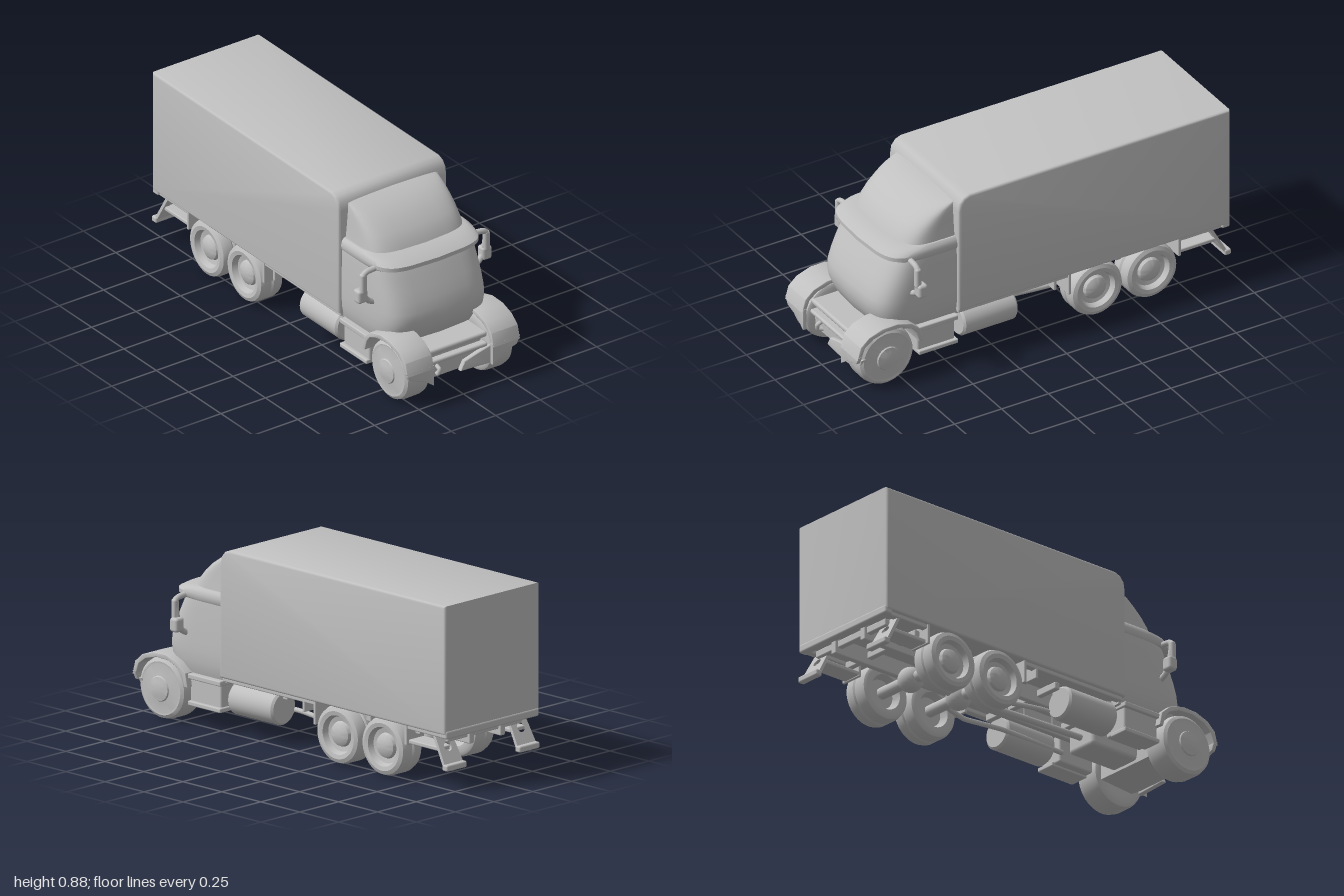
import * as THREE from 'three';
import { toCreasedNormals } from 'three/addons/utils/BufferGeometryUtils.js';
import { RoundedBoxGeometry } from 'three/addons/geometries/RoundedBoxGeometry.js';

const grey = new THREE.MeshStandardMaterial({ color: 0xc0c0c0 });
grey.name = 'plain grey';

const V = (x, y, z) => new THREE.Vector3(x, y, z);

function add(parent, name, geometry) {
  const mesh = new THREE.Mesh(geometry, grey);
  mesh.name = name;
  parent.add(mesh);
  return mesh;
}

// box given by its limits on each axis
function box(x0, x1, y0, y1, z0, z1, r = 0.006) {
  const g = new RoundedBoxGeometry(x1 - x0, y1 - y0, z1 - z0, 2, r);
  return g.translate((x0 + x1) / 2, (y0 + y1) / 2, (z0 + z1) / 2);
}

function extrude(points, depth, bevel) {
  const shape = new THREE.Shape(points.map(p => new THREE.Vector2(p[0], p[1])));
  return new THREE.ExtrudeGeometry(shape, {
    depth: depth - 2 * bevel, bevelEnabled: bevel > 0, bevelSize: bevel, bevelThickness: bevel, bevelSegments: 3,
  }).translate(0, 0, bevel);
}

// side outline (z, y) pulled from x0 to x1
function extrudeX(points, x0, x1, bevel = 0) {
  const g = extrude(points, x1 - x0, bevel).rotateY(-Math.PI / 2).translate(x1, 0, 0);
  return toCreasedNormals(g, 0.6);
}

// front outline (x, y) pulled from z0 to z1
function extrudeZ(points, z0, z1, bevel = 0) {
  return toCreasedNormals(extrude(points, z1 - z0, bevel).translate(0, 0, z0), 0.6);
}

const tube = (points, r) => new THREE.TubeGeometry(new THREE.CatmullRomCurve3(points, false, 'catmullrom', 0.2), 24, r, 10);

// cab shell through levels [y, half width, front z], with a bowed front
function shell(levels, back) {
  const n = 32, pos = [];
  const rings = levels.map(([y, w, front]) => {
    const ring = [];
    for (let i = 0; i <= n; i++) {
      const a = (i / n - 0.5) * Math.PI, s = Math.sin(a);
      const u = Math.sign(s) * Math.abs(s) ** 0.3;
      const c = Math.max(0, Math.cos(a)) ** 0.3;
      ring.push([w * u, y, back + (front - back) * c - 0.03 * u * u * c]);
    }
    return ring;
  });
  const tri = (...p) => p.forEach(q => pos.push(...q));
  const m = n + 1;
  for (let k = 0; k + 1 < rings.length; k++) {
    for (let i = 0; i < m; i++) {
      const a = rings[k], b = rings[k + 1], j = (i + 1) % m;
      tri(a[i], a[j], b[j]);
      tri(a[i], b[j], b[i]);
    }
  }
  const low = rings[0], high = rings[rings.length - 1];
  for (let i = 0; i < n; i++) {
    tri([0, high[0][1], back], high[i], high[i + 1]);
    tri([0, low[0][1], back], low[i + 1], low[i]);
  }
  const g = new THREE.BufferGeometry();
  g.setAttribute('position', new THREE.Float32BufferAttribute(pos, 3));
  return toCreasedNormals(g, 0.6);
}

// wheel turned about the x axis, outer face towards +x
function wheel(parent, name, profile, x, y, z, side) {
  const g = new THREE.LatheGeometry(profile.map(p => new THREE.Vector2(p[0], p[1])), 48);
  const w = add(parent, name, toCreasedNormals(g.rotateZ(-Math.PI / 2), 0.6));
  w.position.set(side * x, y, z);
  if (side < 0) w.rotation.y = Math.PI;
}

export function createModel() {
  const truck = new THREE.Group();
  truck.name = 'boxTruck';

  // cargo body with a rounded upper front edge
  add(truck, 'cargoBox', extrudeX([
    [-0.978, 0.282], [0.443, 0.282], [0.443, 0.80], [0.437, 0.835], [0.42, 0.856], [0.395, 0.866], [-0.978, 0.866],
  ], -0.305, 0.305, 0.013));
  add(truck, 'rearDoorFrame', box(-0.3, 0.3, 0.25, 0.29, -0.995, -0.95, 0.01));

  // cab, sun visor and roof fairing
  add(truck, 'cab', shell([
    [0.24, 0.27, 0.82], [0.27, 0.28, 0.84], [0.31, 0.287, 0.857], [0.36, 0.29, 0.866], [0.40, 0.29, 0.86],
    [0.45, 0.29, 0.842], [0.50, 0.289, 0.82], [0.56, 0.287, 0.79], [0.62, 0.285, 0.76], [0.65, 0.28, 0.74],
  ], 0.44));
  add(truck, 'sunVisor', shell([
    [0.60, 0.286, 0.79], [0.61, 0.291, 0.815], [0.63, 0.292, 0.815], [0.648, 0.287, 0.78], [0.66, 0.275, 0.72],
  ], 0.44));
  add(truck, 'roofFairing', shell([
    [0.65, 0.268, 0.715], [0.69, 0.263, 0.695], [0.73, 0.259, 0.662], [0.77, 0.256, 0.615],
    [0.80, 0.253, 0.57], [0.823, 0.25, 0.515], [0.84, 0.247, 0.445],
  ], 0.43));

  // low nose between the wheels, with a slot in it
  add(truck, 'noseTop', box(-0.17, 0.17, 0.222, 0.25, 0.7, 0.955, 0.012));
  add(truck, 'noseSlot', box(-0.15, 0.15, 0.19, 0.225, 0.7, 0.93));
  add(truck, 'noseLip', box(-0.165, 0.165, 0.178, 0.2, 0.7, 0.965, 0.01));
  add(truck, 'noseLower', extrudeX([
    [0.72, 0.18], [0.72, 0.10], [0.9, 0.085], [0.93, 0.1], [0.935, 0.18],
  ], -0.165, 0.165, 0.004));
  add(truck, 'towHook', tube([V(-0.105, 0.16, 0.92), V(-0.105, 0.145, 0.96), V(-0.11, 0.12, 0.955), V(-0.1, 0.115, 0.93)], 0.01));
  add(truck, 'bumperPiece', extrudeZ([
    [0.01, 0.108], [0.03, 0.145], [0.10, 0.165], [0.17, 0.182], [0.30, 0.17], [0.28, 0.12], [0.17, 0.10],
  ], 0.95, 0.975, 0.005));

  const frontTyre = [
    [0, -0.06], [0.09, -0.065], [0.125, -0.068], [0.14, -0.06], [0.146, -0.04], [0.147, 0.03], [0.14, 0.056],
    [0.125, 0.066], [0.115, 0.064], [0.07, 0.074], [0.06, 0.074], [0.056, 0.08], [0.035, 0.086], [0, 0.088],
  ];
  const rearTyre = [
    [0, -0.03], [0.07, -0.03], [0.085, -0.065], [0.115, -0.068], [0.13, -0.06], [0.137, -0.04], [0.137, -0.008], [0.131, 0],
    [0.137, 0.008], [0.137, 0.04], [0.13, 0.058], [0.112, 0.066], [0.092, 0.062], [0.082, 0.035], [0.06, 0.03],
    [0.054, 0.045], [0.035, 0.056], [0, 0.058],
  ];
  const fenderArch = [
    [0.655, 0.19], [0.668, 0.25], [0.715, 0.292], [0.79, 0.314], [0.87, 0.312], [0.94, 0.288], [0.983, 0.25], [1.0, 0.19],
    [0.985, 0.19], [0.965, 0.245], [0.92, 0.278], [0.85, 0.298], [0.77, 0.295], [0.71, 0.27], [0.685, 0.24], [0.67, 0.19],
  ];

  for (const s of [1, -1]) {
    const side = s > 0 ? 'left' : 'right';
    const range = (a, b) => (s > 0 ? [a, b] : [-b, -a]);
    const sideBox = (name, a, b, ...rest) => add(truck, side + name, box(...range(a, b), ...rest));

    // wheels, fenders and lower fender lips
    wheel(truck, side + 'FrontWheel', frontTyre, 0.236, 0.147, 0.835, s);
    for (const z of [-0.29, -0.58]) wheel(truck, side + 'RearWheel', rearTyre, 0.235, 0.14, z, s);
    add(truck, side + 'Fender', extrudeX(fenderArch, ...range(0.167, 0.317), 0.003));
    const lip = [[0.167, 0.10], [0.167, 0.2], [0.316, 0.2], [0.3, 0.165], [0.22, 0.14]].map(p => [p[0] * s, p[1]]);
    add(truck, side + 'FenderLip', extrudeZ(lip, 0.98, 1.0, 0.003));

    // mirror on its bent arm
    add(truck, side + 'MirrorArm', tube([
      V(s * 0.28, 0.612, 0.70), V(s * 0.325, 0.608, 0.70), V(s * 0.345, 0.595, 0.70), V(s * 0.343, 0.54, 0.695),
      V(s * 0.335, 0.48, 0.69), V(s * 0.31, 0.45, 0.69), V(s * 0.28, 0.435, 0.69),
    ], 0.014));
    sideBox('MirrorHead', 0.322, 0.376, 0.452, 0.52, 0.66, 0.71, 0.014);
    sideBox('MirrorPanel', 0.33, 0.362, 0.5, 0.605, 0.685, 0.715, 0.012);

    // steps and fuel tank
    sideBox('StepBox', 0.16, 0.285, 0.11, 0.25, 0.465, 0.665, 0.01);
    sideBox('UpperStep', 0.2, 0.302, 0.225, 0.25, 0.455, 0.665);
    sideBox('LowerStep', 0.2, 0.302, 0.1, 0.122, 0.455, 0.665);
    const tank = new THREE.LatheGeometry(
      [[0, -0.145], [0.07, -0.145], [0.08, -0.135], [0.08, 0.135], [0.07, 0.145], [0, 0.145]].map(p => new THREE.Vector2(...p)), 32);
    add(truck, side + 'FuelTank', toCreasedNormals(tank.rotateX(Math.PI / 2), 0.6)).position.set(s * 0.215, 0.17, 0.275);
    for (const z of [0.19, 0.36]) sideBox('TankStrap', 0.08, 0.2, 0.22, 0.27, z - 0.012, z + 0.012);

    // chassis rail, sills and hangers
    sideBox('ChassisRail', 0.085, 0.115, 0.19, 0.28, -0.96, 0.8);
    sideBox('FrontSill', 0.255, 0.29, 0.25, 0.28, -0.14, 0.45);
    sideBox('RearSill', 0.255, 0.29, 0.25, 0.28, -0.96, -0.72);
    sideBox('SillPost', 0.2, 0.29, 0.205, 0.28, -0.075, -0.06, 0.004);
    sideBox('FrontMudGuard', 0.18, 0.295, 0.16, 0.28, -0.15, -0.135, 0.004);
    sideBox('RearMudGuard', 0.18, 0.295, 0.175, 0.28, -0.735, -0.72, 0.004);
    sideBox('RearStay', 0.18, 0.28, 0.18, 0.2, -0.93, -0.72);

    // curved tail bracket with a round hole
    const plate = new THREE.Shape([[0.175, 0], [0.295, 0], [0.285, 0.17], [0.185, 0.17]].map(p => new THREE.Vector2(s * p[0], p[1])));
    plate.holes.push(new THREE.Path().absarc(s * 0.235, 0.095, 0.022, 0, Math.PI * 2, true));
    const bracket = new THREE.ExtrudeGeometry(plate, { depth: 0.015, bevelEnabled: false });
    bracket.rotateX(0.5).translate(0, 0.115, -0.985);
    add(truck, side + 'TailBracket', bracket);
    sideBox('TailFoot', 0.17, 0.3, 0.1, 0.13, -1.0, -0.965, 0.008);

    // lower exhaust and brake pipes
    add(truck, side + 'ChassisPipe', tube([
      V(s * 0.15, 0.15, 0.47), V(s * 0.14, 0.15, 0.1), V(s * 0.13, 0.125, -0.14), V(s * 0.1, 0.14, -0.3),
    ], 0.012));
  }

  // cross members, axles and drive shaft
  for (const z of [0.6, 0.42, 0.1, -0.12, -0.435, -0.75, -0.93]) add(truck, 'crossMember', box(-0.24, 0.24, 0.22, 0.255, z - 0.015, z + 0.015));
  for (const z of [0.835, -0.29, -0.58]) {
    const y = z > 0 ? 0.13 : 0.14;
    add(truck, 'axle', new THREE.CylinderGeometry(0.028, 0.028, 0.4, 20).rotateZ(Math.PI / 2)).position.set(0, y, z);
    if (z < 0) add(truck, 'differential', new THREE.SphereGeometry(0.06, 24, 16)).position.set(0, y, z);
  }
  add(truck, 'driveShaft', tube([V(0, 0.17, 0.5), V(0, 0.16, 0.1), V(0, 0.14, -0.58)], 0.016));
  add(truck, 'engine', box(-0.085, 0.085, 0.11, 0.25, 0.45, 0.75, 0.02));
  return truck;
}
